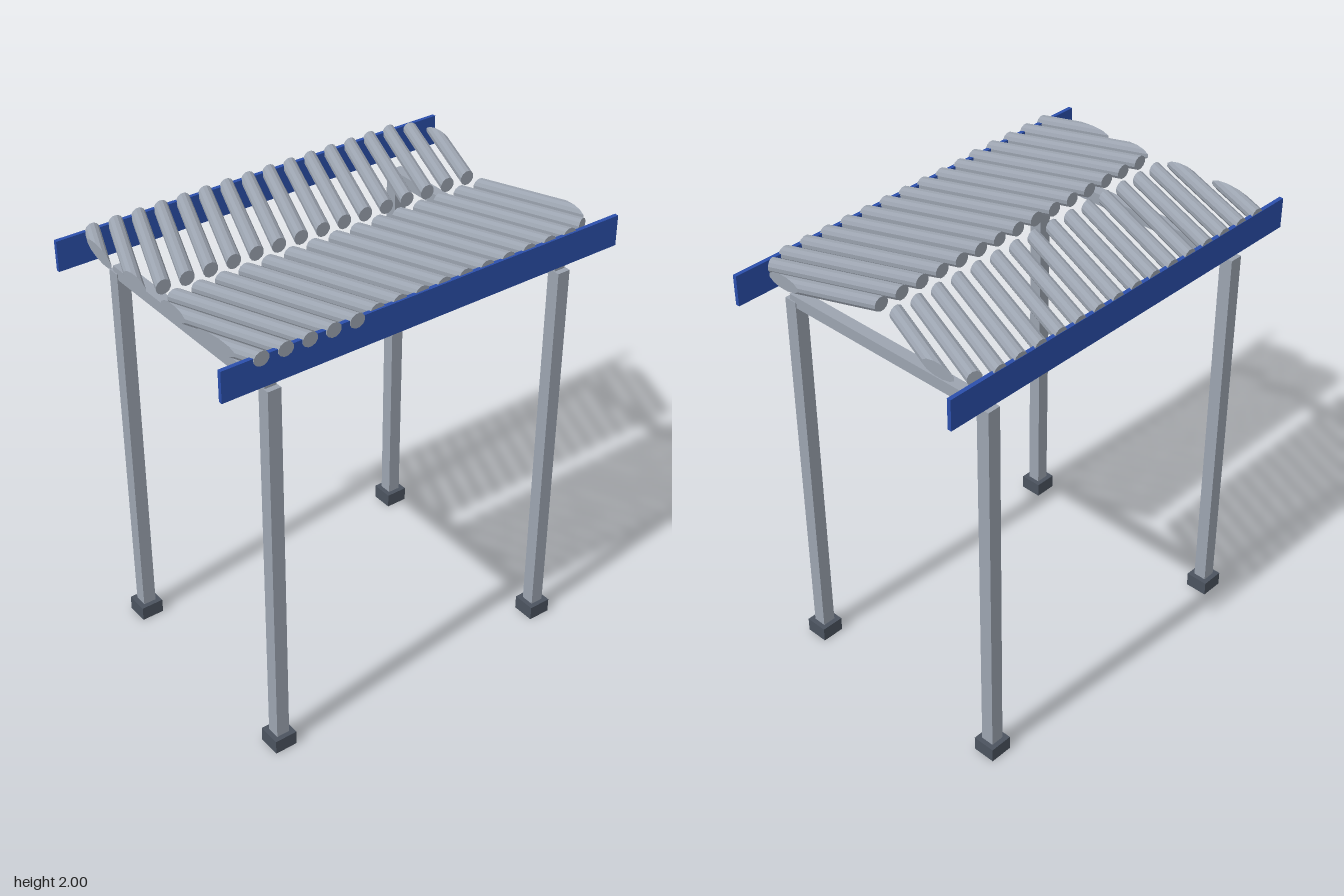
import * as THREE from 'three';

const steel = new THREE.MeshStandardMaterial({ color: 0x9ca4b0 });
steel.name = 'grey steel';
const blue = new THREE.MeshStandardMaterial({ color: 0x2b4fab });
blue.name = 'blue paint';
const dark = new THREE.MeshStandardMaterial({ color: 0x4b535f });
dark.name = 'dark rubber';

const SIDES = 12, RADIUS = 0.0315, SLOPE = 0.41, PITCH = 0.106;
const INNER = 0.04, SLATS = 17;

function box(name, material, w, h, d, x, y, z) {
  const mesh = new THREE.Mesh(new THREE.BoxGeometry(w, h, d), material);
  mesh.name = name;
  mesh.position.set(x, y, z);
  return mesh;
}

// Limits a*u + b*z <= c that trim a slat, u being the distance from the middle
function limits(k, side) {
  const outer = side > 0 ? (k <= 4 ? 0.588 : 0.576) : 0.583;
  const list = [[-1, 0, -INNER], [1, 0, outer], [0, -1, 0.846]];
  if (k === 0) list.push([0.123, 1, 0.876 + 0.123 * 0.247]);
  else list.push([0, 1, 0.86]);
  if (k === 15) list.push([1, -0.39, 0.535 + 0.39 * 0.82]);
  return list;
}

// Round slat, slanted in plan, each of its long edges trimmed by the limits
function slatGeometry(k, side) {
  const zOuter = 0.78 - PITCH * k;
  const stretch = Math.hypot(1, SLOPE);
  const near = [], far = [];
  for (let i = 0; i < SIDES; i++) {
    const t = (i + 0.5) / SIDES * Math.PI * 2;
    const y = 1.969 + RADIUS * Math.cos(t);
    const p = zOuter + SLOPE * 0.587 + RADIUS * Math.sin(t) * stretch;
    let lo = -9, hi = 9;
    for (const [a, b, c] of limits(k, side)) {
      const m = a - b * SLOPE, u = (c - b * p) / m;
      if (m > 0) hi = Math.min(hi, u);
      else lo = Math.max(lo, u);
    }
    hi = Math.max(hi, lo);
    near.push(new THREE.Vector3(side * lo, y, p - SLOPE * lo));
    far.push(new THREE.Vector3(side * hi, y, p - SLOPE * hi));
  }
  const middle = (ring) => ring.reduce((s, v) => s.add(v), new THREE.Vector3()).divideScalar(SIDES);
  const nearMid = middle(near), farMid = middle(far);
  const points = [];
  const tri = (a, b, c) => points.push(...(side > 0 ? [a, b, c] : [a, c, b]));
  for (let i = 0; i < SIDES; i++) {
    const j = (i + 1) % SIDES;
    tri(near[i], near[j], far[j]);
    tri(near[i], far[j], far[i]);
    tri(farMid, far[i], far[j]);
    tri(nearMid, near[j], near[i]);
  }
  const geometry = new THREE.BufferGeometry().setFromPoints(points);
  geometry.computeVertexNormals();
  return geometry;
}

// Square socket, open in the middle, that a post stands in
function footGeometry() {
  const square = (path, h) => path.moveTo(-h, -h).lineTo(h, -h).lineTo(h, h).lineTo(-h, h).closePath();
  const shape = square(new THREE.Shape(), 0.052);
  shape.holes.push(square(new THREE.Path(), 0.0299));
  return new THREE.ExtrudeGeometry(shape, { depth: 0.066, bevelEnabled: false }).rotateX(-Math.PI / 2);
}

export function createModel() {
  const model = new THREE.Group();
  model.name = 'slattedCanopy';

  // Two portal frames: posts in sockets joined by a beam
  const foot = footGeometry();
  for (const z of [-0.706, 0.706]) {
    const frame = new THREE.Group();
    frame.name = z > 0 ? 'frontFrame' : 'backFrame';
    for (const x of [-0.525, 0.525]) {
      frame.add(box('post', steel, 0.06, 1.77, 0.06, x, 0.905, z));
      const socket = new THREE.Mesh(foot, dark);
      socket.name = 'foot';
      socket.position.set(x, 0, z);
      frame.add(socket);
    }
    frame.add(box('beam', steel, 1.06, 0.052, 0.052, 0, 1.789, z));
    model.add(frame);
  }

  // Roof: a side rail and a row of slanted slats on each half
  for (const side of [-1, 1]) {
    const half = new THREE.Group();
    half.name = side > 0 ? 'leftRoof' : 'rightRoof';
    half.add(box('sideRail', blue, 0.018, 0.135, 1.904, side * 0.576, 1.9115, 0));
    for (let k = 0; k < SLATS; k++) {
      const slat = new THREE.Mesh(slatGeometry(k, side), steel);
      slat.name = 'slat';
      half.add(slat);
    }
    model.add(half);
  }
  return model;
}
